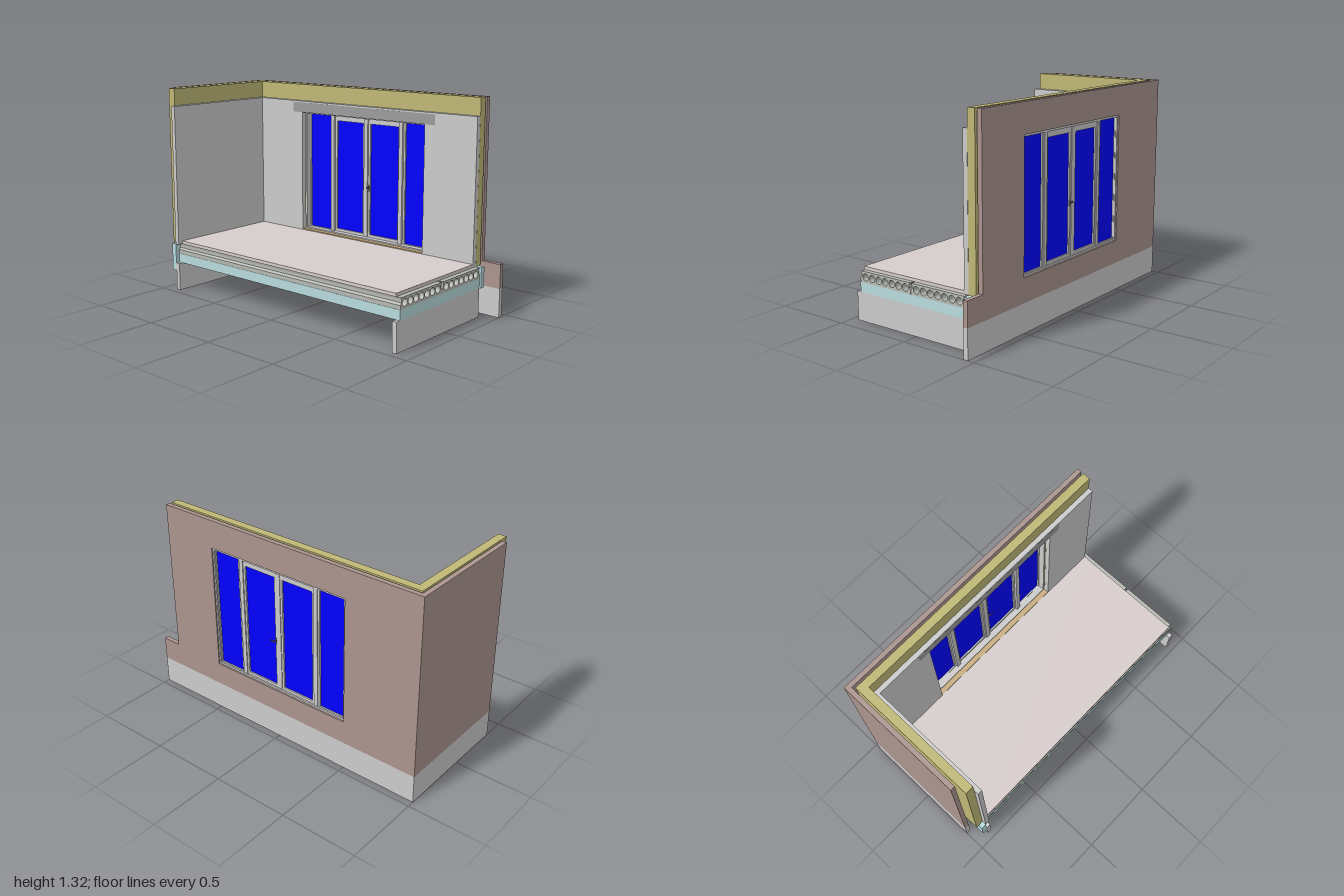
import * as THREE from 'three';

const mat = (color) => new THREE.MeshStandardMaterial({ color });
const M = {
  concrete: mat(0xcccccc), brick: mat(0xac958f), wool: mat(0xbfb876), foam: mat(0xb9dcde),
  screed: mat(0xd6cdcc), slab: mat(0xb8bbb4), lintel: mat(0x9c9c9c), frame: mat(0xc0c0c0),
  glass: mat(0x0000ff), wood: mat(0xc8ad80), cream: mat(0xe4e0c8), metal: mat(0x666666),
};

export function createModel() {
  const root = new THREE.Group();
  const add = (name, geo, m) => {
    const mesh = new THREE.Mesh(geo, m);
    mesh.name = name;
    root.add(mesh);
    return mesh;
  };
  // Box from its minimum and maximum on each axis
  const box = (name, m, x0, x1, y0, y1, z0, z1) => {
    const g = new THREE.BoxGeometry(x1 - x0, y1 - y0, z1 - z0);
    g.translate((x0 + x1) / 2, (y0 + y1) / 2, (z0 + z1) / 2);
    return add(name, g, m);
  };
  const poly = (pts) => pts.map(([x, y]) => new THREE.Vector2(x, y));
  const rect = (x0, x1, y0, y1) => poly([[x0, y0], [x1, y0], [x1, y1], [x0, y1]]);
  // Upright plate in the x-y plane with holes
  const plate = (name, m, outline, holes, z0, z1) => {
    const s = new THREE.Shape(outline);
    holes.forEach((h) => s.holes.push(new THREE.Path(h)));
    const g = new THREE.ExtrudeGeometry(s, { depth: z1 - z0, bevelEnabled: false });
    return add(name, g.translate(0, 0, z0), m);
  };

  // Foundations: outer L and inner U
  box('outerFoundationBack', M.concrete, -1, 1, 0, 0.18, -0.458, -0.428);
  box('outerFoundationSide', M.concrete, -1, -0.97, 0, 0.18, -0.428, 0.36);
  box('innerFoundationBack', M.concrete, -0.875, 0.87, 0, 0.18, -0.36, -0.33);
  box('innerFoundationSide', M.concrete, -0.905, -0.875, 0, 0.18, -0.36, 0.458);
  box('innerFoundationEnd', M.concrete, 0.87, 0.9, 0, 0.18, -0.36, 0.458);

  // Floor insulation and edge strips
  box('floorInsulation', M.foam, -0.905, 0.9, 0.18, 0.24, -0.36, 0.43);
  box('edgeInsulationSide', M.foam, -0.94, -0.905, 0.13, 0.308, -0.395, 0.458);
  box('edgeInsulationBack', M.foam, -0.905, 0.91, 0.18, 0.308, -0.395, -0.361);

  // Two hollow-core floor slabs with keyed edges
  const floorSlab = (z0, z1) => {
    const a = -z1, b = -z0;
    const s = new THREE.Shape(poly([
      [a, 0.24], [b, 0.24], [b, 0.265], [b - 0.01, 0.278], [b - 0.01, 0.295], [b - 0.006, 0.308],
      [a + 0.006, 0.308], [a + 0.01, 0.295], [a + 0.01, 0.278], [a, 0.265],
    ]));
    const step = 0.0518;
    for (let i = -3; i <= 3; i++) {
      const p = new THREE.Path();
      p.absarc((a + b) / 2 + i * step, 0.274, 0.022, 0, Math.PI * 2, true);
      s.holes.push(p);
    }
    const g = new THREE.ExtrudeGeometry(s, { depth: 1.805, bevelEnabled: false, curveSegments: 10 });
    add('hollowFloorSlab', g.rotateY(Math.PI / 2).translate(-0.905, 0, 0), M.slab);
  };
  floorSlab(-0.36, 0.033);
  floorSlab(0.035, 0.428);
  box('floorScreed', M.screed, -0.875, 0.87, 0.308, 0.328, -0.33, 0.428);

  // Side wall layers
  box('innerWallSide', M.concrete, -0.905, -0.875, 0.308, 1.21, -0.36, 0.458);
  box('wallInsulationSide', M.wool, -0.958, -0.905, 0.308, 1.318, -0.412, 0.43);
  box('brickWallSide', M.brick, -1, -0.97, 0.18, 1.318, -0.428, 0.36);

  // Back wall layers with the door opening; the inner leaf is notched for the lintel
  plate('innerWallBack', M.concrete, rect(-0.875, 0.87, 0.308, 1.21), [poly([
    [-0.5, 0.328], [0.5, 0.328], [0.5, 1.135], [0.575, 1.135], [0.575, 1.2],
    [-0.58, 1.2], [-0.58, 1.135], [-0.5, 1.135],
  ])], -0.36, -0.33);
  box('lintel', M.lintel, -0.58, 0.575, 1.135, 1.2, -0.36, -0.329);
  const opening = rect(-0.5, 0.5, 0.328, 1.138);
  plate('wallInsulationBack', M.wool, rect(-0.905, 0.87, 0.308, 1.318), [opening], -0.412, -0.361);
  plate('brickWallBack', M.brick, poly([
    [-1, 0.18], [1, 0.18], [1, 0.33], [0.87, 0.33], [0.87, 1.318], [-1, 1.318],
  ]), [opening], -0.458, -0.428);

  // Opening details inside the cavity
  box('cavityLintel', M.lintel, -0.54, 0.54, 1.139, 1.15, -0.427, -0.413);
  box('thresholdSupport', M.cream, -0.54, 0.54, 0.19, 0.32, -0.427, -0.413);
  box('threshold', M.wood, -0.5, 0.5, 0.31, 0.334, -0.415, -0.331);

  // Door set: deep rim, glazed leaves and posts
  plate('doorRim', M.frame, rect(-0.5, 0.5, 0.33, 1.137),
    [rect(-0.49, 0.49, 0.342, 1.125)], -0.45, -0.365);
  const panes = [
    [-0.488, -0.31, 0.345, 1.122], [-0.255, -0.035, 0.36, 1.09],
    [0.025, 0.25, 0.36, 1.09], [0.305, 0.485, 0.345, 1.122],
  ];
  plate('doorLeaves', M.frame, rect(-0.495, 0.495, 0.335, 1.13),
    panes.map((p) => rect(...p)), -0.44, -0.405);
  panes.forEach((p) => box('glass', M.glass, ...p, -0.43, -0.415));
  [-0.283, 0.278].forEach((x) => box('doorPost', M.frame, x - 0.014, x + 0.014, 0.335, 1.13, -0.446, -0.39));
  box('meetingStile', M.frame, -0.02, 0.01, 0.345, 1.12, -0.444, -0.395);

  // Handles on both faces
  [[-0.463, -0.44], [-0.405, -0.382]].forEach(([z0, z1], i) => {
    box('handleSpindle', M.metal, 0.012, 0.018, 0.672, 0.68, z0, z1);
    const z = i ? z1 - 0.005 : z0;
    box('handleLever', M.metal, 0.012, 0.045, 0.672, 0.68, z, z + 0.005);
    const p = i ? -0.405 : -0.444;
    box('handlePlate', M.metal, 0.01, 0.02, 0.65, 0.69, p, p + 0.004);
  });
  return root;
}
